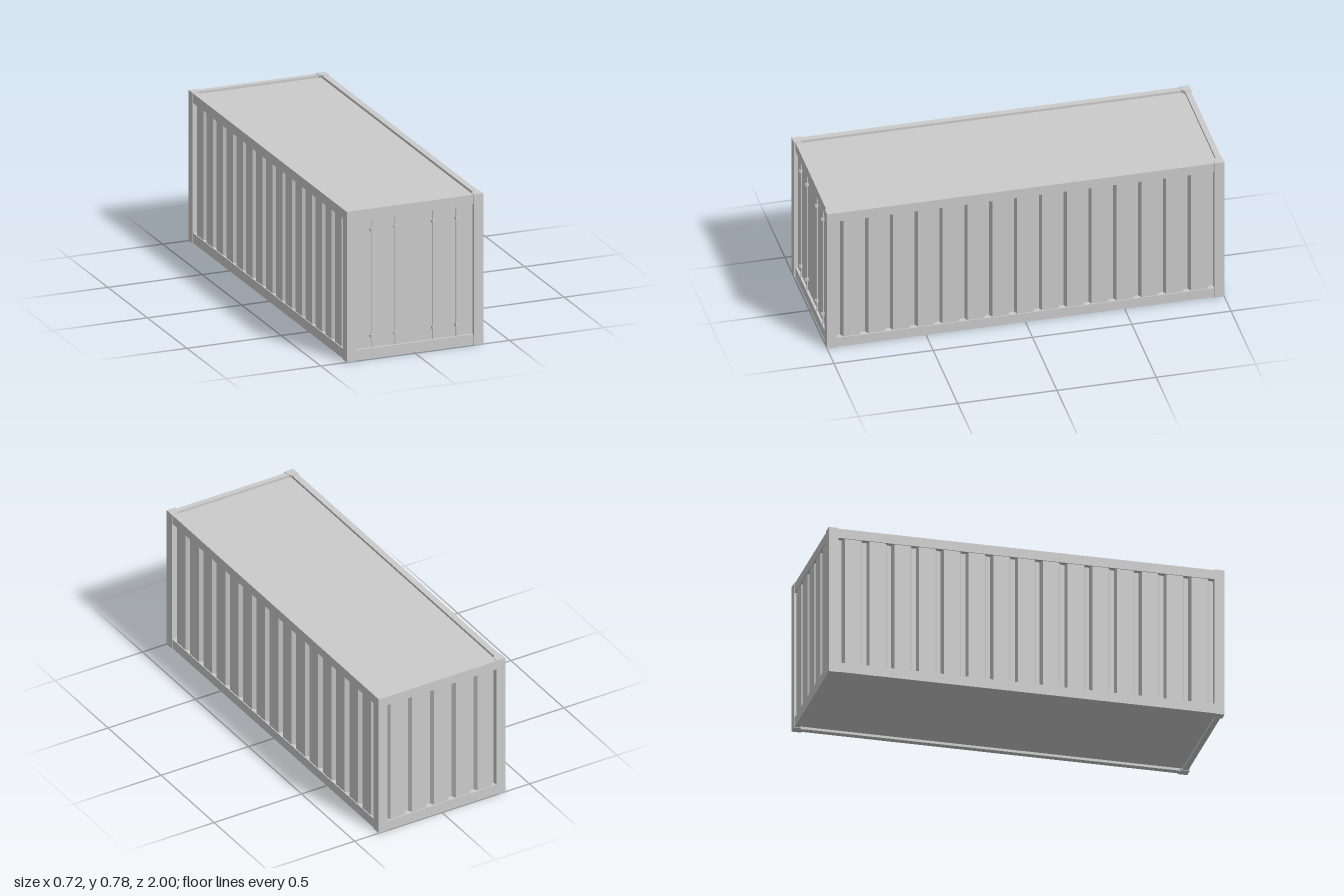
import * as THREE from 'three';

const W = 0.362, H = 0.778, L = 1; // half width, height, half length
const POST = 0.05, RAIL = 0.032, LOW = 0.054, HIGH = 0.726;
const material = new THREE.MeshStandardMaterial({ color: 0xcccccc, flatShading: true });
const smooth = new THREE.MeshStandardMaterial({ color: 0xcccccc });

function add(parent, name, geometry, x = 0, y = 0, z = 0, mat = material) {
  const mesh = new THREE.Mesh(geometry, mat);
  mesh.name = name;
  mesh.position.set(x, y, z);
  parent.add(mesh);
  return mesh;
}

// Box given by its minimum and maximum corners
function block(parent, name, x0, x1, y0, y1, z0, z1) {
  const g = new THREE.BoxGeometry(x1 - x0, y1 - y0, z1 - z0);
  return add(parent, name, g, (x0 + x1) / 2, (y0 + y1) / 2, (z0 + z1) / 2);
}

// Upright prism from a plan outline of [x, z] points
function prism(points, height) {
  const shape = new THREE.Shape(points.map(([x, z]) => new THREE.Vector2(x, -z)));
  const g = new THREE.ExtrudeGeometry(shape, { depth: height, bevelEnabled: false });
  return g.rotateX(-Math.PI / 2);
}

// Corrugated sheet facing +z: wide outer ribs with narrow recesses between them
function corrugatedPanel(ribs, halfWidth) {
  const pitch = 0.125, top = 0.041, foot = 0.052, outer = -0.008, inner = -0.03;
  const line = [[-halfWidth, inner]];
  for (let i = 0; i < ribs; i++) {
    const c = (i - (ribs - 1) / 2) * pitch;
    line.push([c - foot, inner], [c - top, outer], [c + top, outer], [c + foot, inner]);
  }
  line.push([halfWidth, inner]);
  const back = line.map(([x, z]) => [x, z - 0.005]).reverse();
  return prism([...line, ...back], HIGH - LOW + 0.004);
}

export function createModel() {
  const model = new THREE.Group();
  model.name = 'shippingContainer';

  // Corner posts, chamfered on the inside
  for (const sx of [-1, 1]) for (const sz of [-1, 1]) {
    const outline = [[0, 0], [POST, 0], [POST, 0.03], [0.03, POST], [0, POST]]
      .map(([a, b]) => [sx * (W - a), sz * (L - b)]);
    add(model, 'cornerPost', prism(outline, H));
  }

  // Upper and lower rails, set in slightly from the posts
  const inset = 0.003, front = L - 0.008, rear = -L + inset;
  for (const [y0, y1, level] of [[inset, LOW, 'bottom'], [HIGH, H - inset, 'top']]) {
    for (const s of [-1, 1]) {
      const xa = s * (W - inset), xb = s * (W - inset - RAIL);
      block(model, level + 'SideRail', Math.min(xa, xb), Math.max(xa, xb), y0, y1, -L + 0.02, L - 0.02);
    }
    block(model, level + 'FrontRail', -W + 0.02, W - 0.02, y0, y1, front - 0.027, front);
    block(model, level + 'BackRail', -W + 0.02, W - 0.02, y0, y1, rear, rear + 0.028);
  }

  // Roof and floor, sunk between the rails
  block(model, 'roof', -W + 0.02, W - 0.02, 0.745, 0.762, -L + 0.02, L - 0.02);
  block(model, 'floor', -W + 0.02, W - 0.02, 0.016, 0.035, -L + 0.02, L - 0.02);

  // Corrugated side and back walls
  const sideWall = corrugatedPanel(15, L - 0.045);
  for (const s of [-1, 1]) {
    add(model, 'sideWall', sideWall, s * W, LOW - 0.002, 0).rotation.y = s * Math.PI / 2;
  }
  add(model, 'backWall', corrugatedPanel(5, W - 0.045), 0, LOW - 0.002, -L).rotation.y = Math.PI;

  // Flat front door with locking rods and their brackets
  block(model, 'door', -W + 0.045, W - 0.045, LOW - 0.002, HIGH + 0.002, 0.962, 0.98);
  const rod = new THREE.CylinderGeometry(0.0035, 0.0035, 0.667, 12);
  const bracket = new THREE.BoxGeometry(0.014, 0.013, 0.017);
  for (const x of [-0.225, -0.1, 0.1, 0.225]) {
    add(model, 'lockingRod', rod, x, 0.389, 0.986, smooth);
    for (const y of [0.116, 0.665]) add(model, 'rodBracket', bracket, x, y, 0.9875);
  }
  return model;
}
